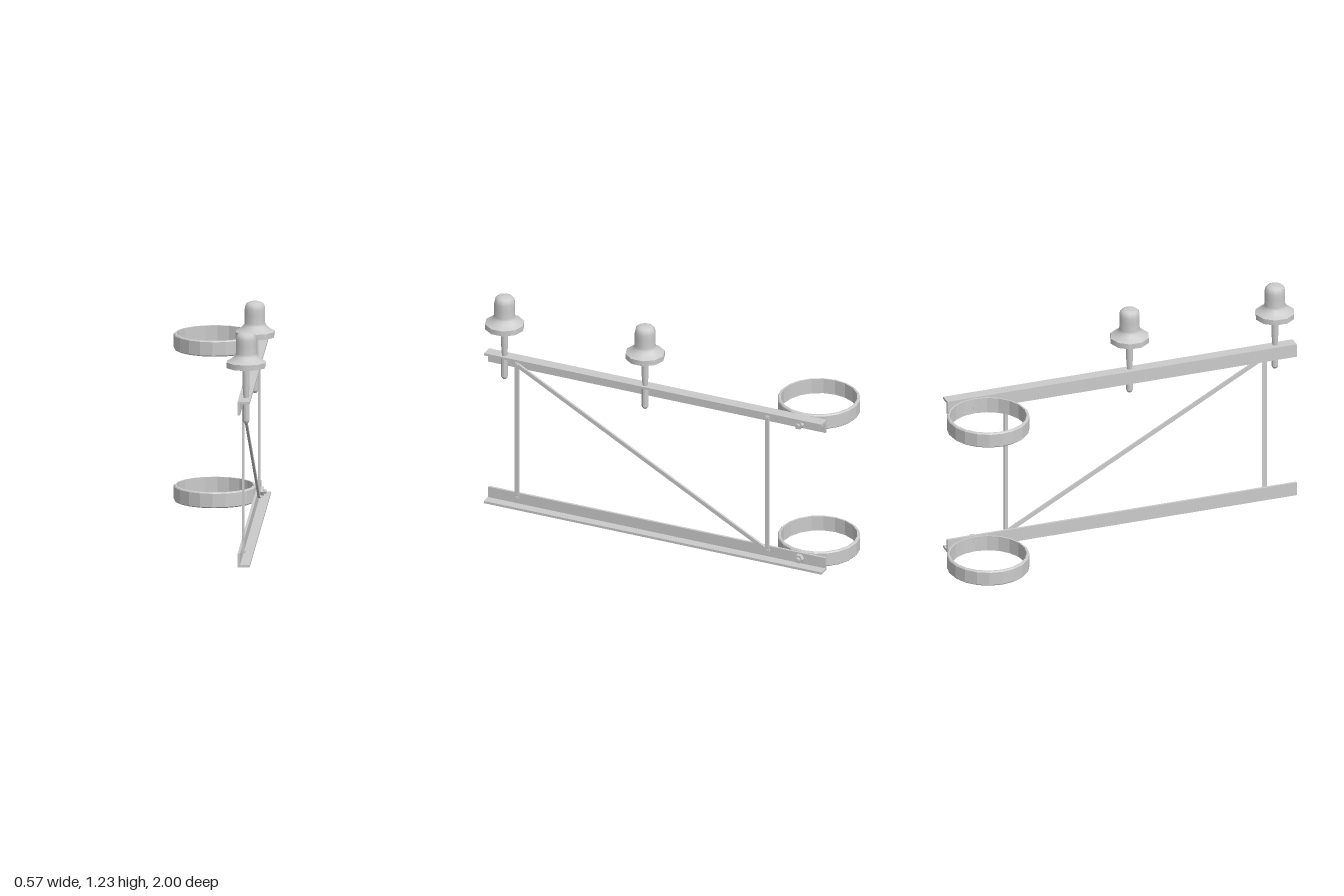
import * as THREE from 'three';

export function createModel() {
  const model = new THREE.Group();
  const material = new THREE.MeshStandardMaterial({ color: 0xcccccc });
  const flat = new THREE.MeshStandardMaterial({ color: 0xcccccc, flatShading: true });

  const add = (name, geometry, x, y, z, mat = material) => {
    const mesh = new THREE.Mesh(geometry, mat);
    mesh.name = name;
    mesh.position.set(x, y, z);
    model.add(mesh);
    return mesh;
  };
  const lathe = (points, sides) =>
    new THREE.LatheGeometry(points.map(([r, y]) => new THREE.Vector2(r, y)), sides);
  // Bolt or nut lying along x, from x0 to x1
  const bolt = (name, r, x0, x1, y, z, sides = 6) => {
    const g = new THREE.CylinderGeometry(r, r, x1 - x0, sides).rotateZ(Math.PI / 2);
    add(name, g, (x0 + x1) / 2, y, z, flat);
  };

  // L-section rails: profile drawn in x-y and extruded along z
  const rail = (name, points) => {
    const shape = new THREE.Shape(points.map(([x, y]) => new THREE.Vector2(x, y)));
    const g = new THREE.ExtrudeGeometry(shape, { depth: 1.93, bevelEnabled: false });
    add(name, g, 0, 0, -0.93);
  };
  rail('lowerRail', [[0.148, 0.008], [0.211, 0.008], [0.211, 0.021], [0.161, 0.021], [0.161, 0.081], [0.148, 0.081]]);
  rail('upperRail', [[0.148, 0.812], [0.161, 0.812], [0.161, 0.871], [0.211, 0.871], [0.211, 0.884], [0.148, 0.884]]);

  // Pole clamp rings with slightly chamfered edges, each bolted to its rail
  const ringProfile = [[0.2, 0], [0.209, 0], [0.215, 0.006], [0.215, 0.077], [0.209, 0.083], [0.2, 0.083], [0.2, 0]];
  for (const [label, y] of [['lower', 0], ['upper', 0.802]]) {
    add(label + 'Ring', lathe(ringProfile, 20), -0.071, y, -0.785, flat);
    const boltY = y + (y ? 0.033 : 0.052);
    bolt(label + 'RingBoltShank', 0.012, 0.125, 0.197, boltY, -0.782, 8);
    bolt(label + 'RingBoltNut', 0.025, 0.161, 0.183, boltY, -0.782);
  }

  // Flat brace bars between the rails
  const brace = (name, z0, y0, z1, y1) => {
    const length = Math.hypot(z1 - z0, y1 - y0);
    const g = new THREE.BoxGeometry(0.012, length + 0.02, 0.021);
    const bar = add(name, g, 0.168, (y0 + y1) / 2, (z0 + z1) / 2);
    bar.rotation.x = Math.atan2(z1 - z0, y1 - y0);
  };
  brace('frontUpright', 0.83, 0.06, 0.83, 0.833);
  brace('rearUpright', -0.6, 0.06, -0.6, 0.833);
  brace('diagonalBrace', -0.6, 0.06, 0.83, 0.833);
  for (const z of [0.83, -0.6]) {
    for (const y of [0.06, 0.833]) bolt('braceRivet', 0.009, 0.155, 0.179, y, z, 8);
  }

  // Bell insulators on pins through the upper rail
  const bell = [[0.055, 1.12], [0.055, 1.165], [0.055, 1.195], [0.051, 1.213], [0.042, 1.224], [0.026, 1.231], [0, 1.232]];
  const skirt = [[0.104, 1.075], [0.088, 1.083], [0.072, 1.094], [0.06, 1.107], ...bell];
  const pin = [[0.019, 1.05], [0.019, 0.95], [0.014, 0.885]].reverse();
  const pinEnd = [[0, 0.75], [0.011, 0.75], [0.018, 0.762], [0.018, 0.871], [0, 0.871]];
  for (const z of [0.893, 0.09]) {
    add('insulatorBell', lathe(skirt, 10), 0.186, 0, z);
    add('insulatorRim', lathe([[0.104, 1.046], [0.104, 1.075]], 10), 0.186, 0, z);
    add('insulatorUnderside', lathe([[0, 1.046], [0.104, 1.046]], 10), 0.186, 0, z);
    add('insulatorPin', lathe(pin, 10), 0.186, 0, z);
    add('insulatorPinEnd', lathe(pinEnd, 10), 0.186, 0, z, flat);
  }

  return model;
}
